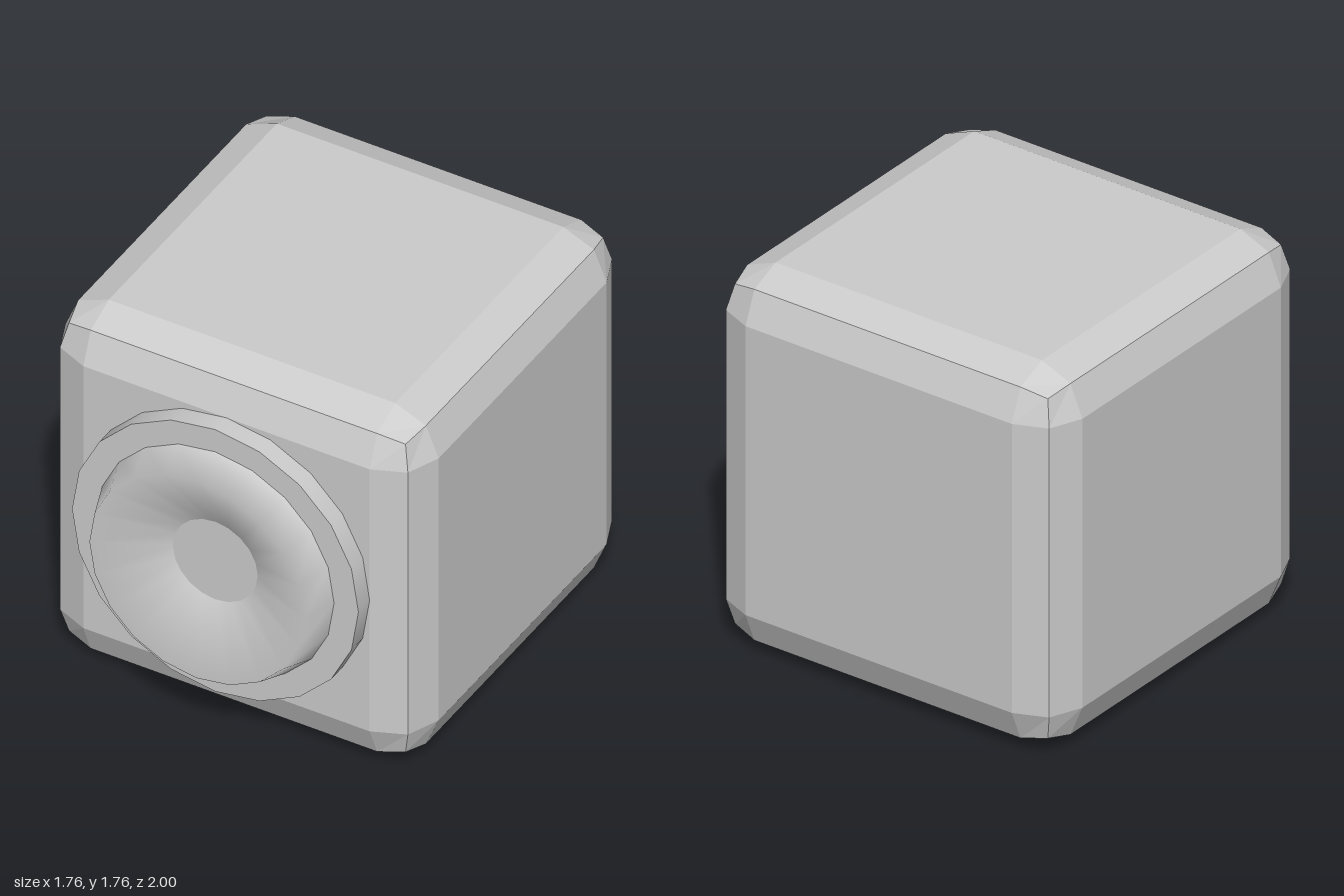
import * as THREE from 'three';
import { RoundedBoxGeometry } from 'three/addons/geometries/RoundedBoxGeometry.js';

const SIDES = 20;
const SIZE = 1.76;
const MID = SIZE / 2;

export function createModel() {
  const group = new THREE.Group();
  const add = (name, geometry, z, options = {}) => {
    const mesh = new THREE.Mesh(geometry, new THREE.MeshStandardMaterial({ color: 0xcccccc, ...options }));
    mesh.name = name;
    mesh.position.set(0, MID, z);
    group.add(mesh);
  };

  // Cube with two-facet bevelled edges
  add('body', new RoundedBoxGeometry(SIZE, SIZE, SIZE, 1, 0.205), -0.12, { flatShading: true });

  // Round plate standing proud of the front face
  const plate = new THREE.CylinderGeometry(0.675, 0.675, 0.11, SIDES).rotateX(Math.PI / 2);
  add('frontPlate', plate, 0.795);

  // Tapered ring whose dished face slopes down to the plate
  const profile = [[0.56, 0], [0.505, 0.15], [0.2, 0]].map(([r, h]) => new THREE.Vector2(r, h));
  const ring = new THREE.LatheGeometry(profile, SIDES).rotateX(Math.PI / 2);
  add('dishedRing', ring, 0.85, { side: THREE.DoubleSide });

  return group;
}
